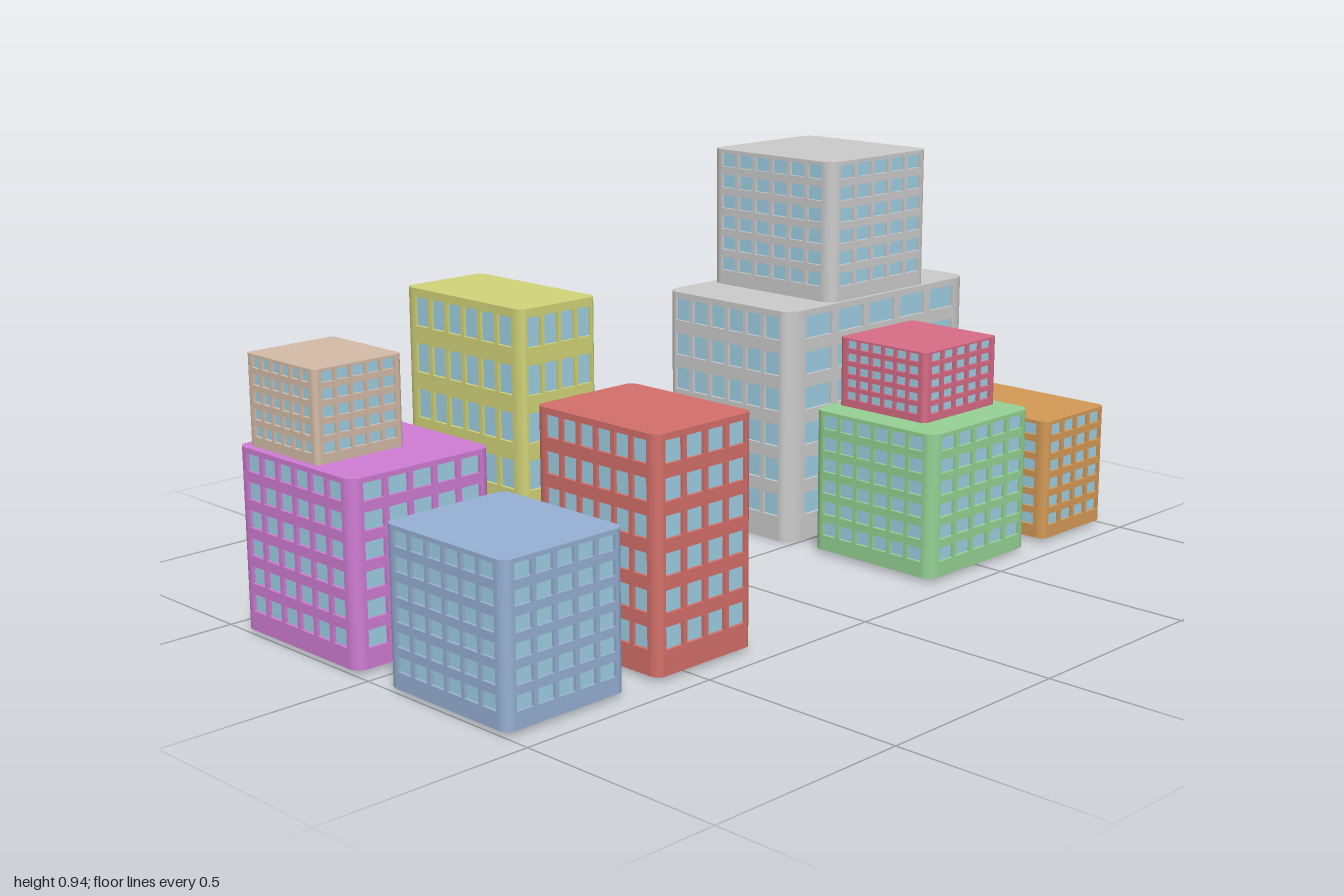
import * as THREE from 'three';

const RECESS = 0.008;
const glass = new THREE.MeshStandardMaterial({ color: 0x9fd0e4 });

// name, colour, [x0, x1], [y0, y1], [z0, z1], window columns front / side, rows, corner ratio
const BUILDINGS = [
  ['greyBlock', 0xcccccc, [0.305, 1], [0, 0.585], [-0.44, -0.01], 5, 6, 6, 0.08],
  ['greyTower', 0xcccccc, [0.465, 0.84], [0.585, 0.935], [-0.43, -0.02], 5, 6, 6, 0.08],
  ['greenBlock', 0x96d294, [0.305, 0.68], [0.01, 0.36], [0.07, 0.44], 5, 6, 6, 0.08],
  ['pinkTower', 0xd86c86, [0.38, 0.655], [0.36, 0.53], [0.085, 0.352], 5, 6, 5, 0.05],
  ['orangeBlock', 0xd49a55, [0.75, 1], [0.01, 0.31], [0.07, 0.44], 4, 6, 6, 0.07],
  ['redBlock', 0xd4706a, [-0.59, -0.305], [0.01, 0.53], [0.07, 0.44], 4, 6, 6, 0.07],
  ['yellowBlock', 0xd2d478, [-0.53, -0.305], [0.01, 0.71], [-0.44, -0.04], 4, 6, 6, 0.07],
  ['purpleBlock', 0xd07cd4, [-1, -0.625], [0.01, 0.425], [-0.44, -0.035], 5, 6, 6, 0.07],
  ['beigeTower', 0xd4bca8, [-0.98, -0.75], [0.425, 0.63], [-0.42, -0.175], 5, 6, 5, 0.05],
  ['blueBlock', 0x96b0d4, [-1, -0.68], [0.01, 0.36], [0.07, 0.44], 5, 6, 6, 0.07],
];

// Flat wall between the rounded corners, pierced by a grid of windows
function wallGeometry(length, height, flat, cols, rows) {
  const shape = new THREE.Shape();
  shape.moveTo(-flat / 2, 0).lineTo(flat / 2, 0).lineTo(flat / 2, height).lineTo(-flat / 2, height);
  const pitchX = length * 0.83 / (cols - 0.2), winW = pitchX * 0.8;
  const bottom = height * 0.108, pitchY = height * 0.864 / (rows - 0.37), winH = pitchY * 0.63;
  for (let i = 0; i < cols; i++) {
    for (let j = 0; j < rows; j++) {
      const x = -length * 0.415 + i * pitchX, y = bottom + j * pitchY;
      const hole = new THREE.Path();
      hole.moveTo(x, y).lineTo(x, y + winH).lineTo(x + winW, y + winH).lineTo(x + winW, y);
      shape.holes.push(hole);
    }
  }
  return new THREE.ExtrudeGeometry(shape, { depth: RECESS, bevelEnabled: false });
}

// Rounded rectangle for roof and floor
function planShape(w, d, rx, rz) {
  const s = new THREE.Shape();
  const cx = w / 2 - rx, cz = d / 2 - rz;
  [[1, 1], [-1, 1], [-1, -1], [1, -1]].forEach(([sx, sz], i) =>
    s.absellipse(sx * cx, sz * cz, rx, rz, i * Math.PI / 2, (i + 1) * Math.PI / 2, false, 0));
  return s;
}

function building([name, color, [x0, x1], [y0, y1], [z0, z1], colsFront, colsSide, rows, ratio]) {
  const group = new THREE.Group();
  group.name = name;
  group.position.set((x0 + x1) / 2, y0, (z0 + z1) / 2);
  const w = x1 - x0, h = y1 - y0, d = z1 - z0, rx = w * ratio, rz = d * ratio;
  const mat = new THREE.MeshStandardMaterial({ color });
  const add = (parent, part, geo, material) => {
    const mesh = new THREE.Mesh(geo, material);
    mesh.name = part;
    parent.add(mesh);
    return mesh;
  };

  // Four walls with recessed panes
  ['front', 'left', 'back', 'right'].forEach((side, i) => {
    const frontal = i % 2 === 0;
    const length = frontal ? w : d, out = (frontal ? d : w) / 2;
    const flat = length * (1 - 2 * ratio);
    const face = new THREE.Group();
    face.name = side + 'Face';
    face.rotation.y = i * Math.PI / 2;
    add(face, side + 'Wall', wallGeometry(length, h, flat, frontal ? colsFront : colsSide, rows), mat)
      .position.z = out - RECESS;
    add(face, side + 'Windows', new THREE.PlaneGeometry(flat, h * 0.98), glass)
      .position.set(0, h / 2, out - RECESS + 0.0005);
    group.add(face);
  });

  // Rounded corners
  [[1, 1], [1, -1], [-1, -1], [-1, 1]].forEach(([sx, sz], i) => {
    const geo = new THREE.CylinderGeometry(1, 1, h, 6, 1, true, i * Math.PI / 2, Math.PI / 2);
    geo.scale(rx, 1, rz);
    add(group, 'corner', geo, mat).position.set(sx * (w / 2 - rx), h / 2, sz * (d / 2 - rz));
  });

  // Roof and floor
  const plan = planShape(w, d, rx, rz);
  const roof = add(group, 'roof', new THREE.ShapeGeometry(plan, 6), mat);
  roof.rotation.x = -Math.PI / 2;
  roof.position.y = h;
  add(group, 'floor', new THREE.ShapeGeometry(plan, 6), mat).rotation.x = Math.PI / 2;
  return group;
}

export function createModel() {
  const city = new THREE.Group();
  city.name = 'cityBlocks';
  BUILDINGS.forEach((b) => city.add(building(b)));
  return city;
}
